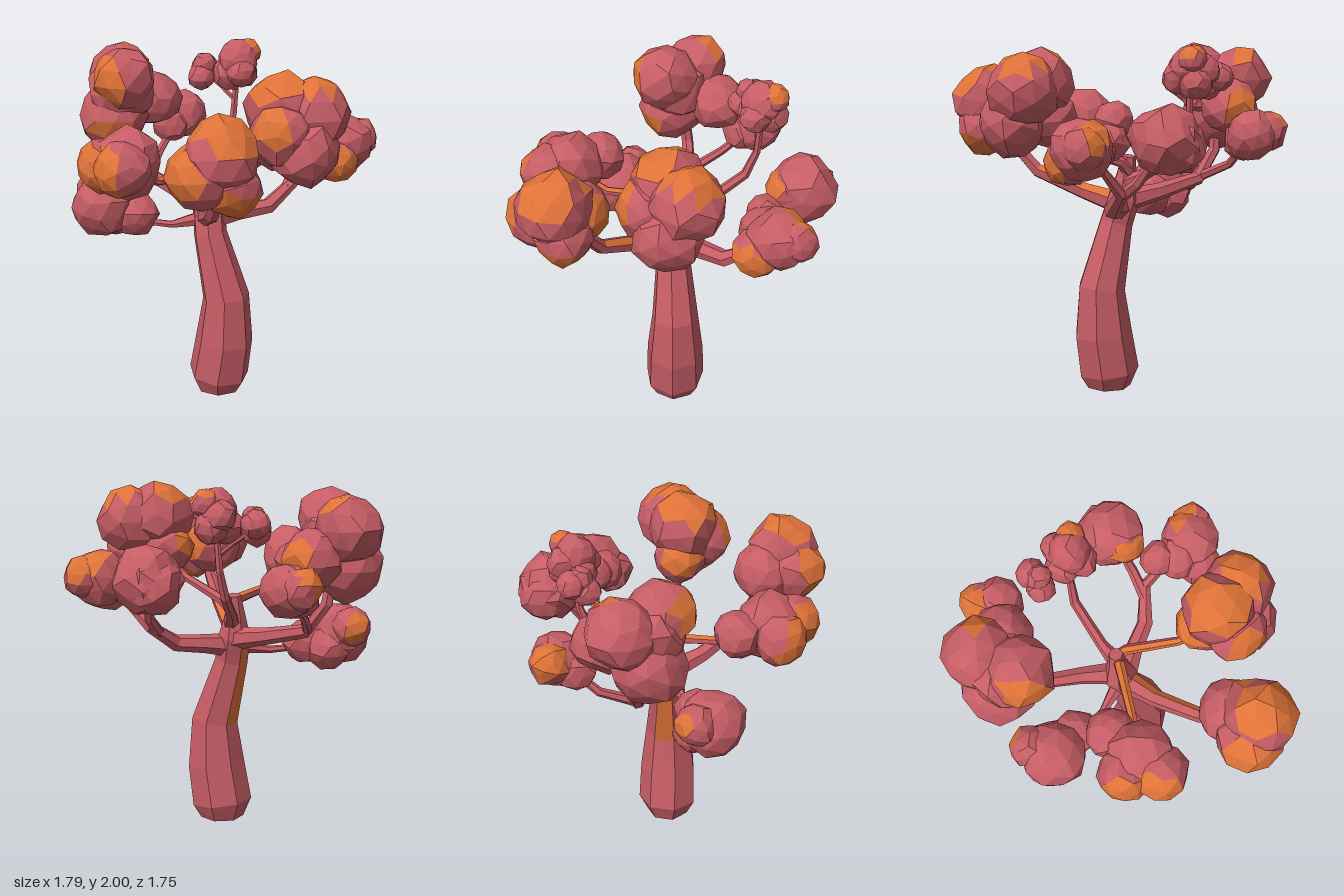
import * as THREE from 'three';

const red = new THREE.MeshStandardMaterial({ color: 0xc65d65 });
red.name = 'dusty red';
const orange = new THREE.MeshStandardMaterial({ color: 0xdf7238 });
orange.name = 'autumn orange';
for (const m of [red, orange]) m.flatShading = true;

// Small seeded random generator
let seed = 7;
const rand = () => (seed = (seed * 16807) % 2147483647) / 2147483647;

// Give each triangle red or orange by its normal and centre
function paint(geometry, isOrange) {
  const g = geometry.index ? geometry.toNonIndexed() : geometry;
  const p = g.attributes.position;
  const t = new THREE.Triangle(), n = new THREE.Vector3(), c = new THREE.Vector3();
  g.clearGroups();
  for (let i = 0; i < p.count; i += 3) {
    t.setFromAttributeAndIndices(p, i, i + 1, i + 2);
    t.getNormal(n);
    t.getMidpoint(c);
    const m = isOrange(n, c) ? 1 : 0;
    const last = g.groups[g.groups.length - 1];
    if (last && last.materialIndex === m) last.count += 3;
    else g.addGroup(i, 3, m);
  }
  g.computeVertexNormals();
  return g;
}

// Orange patch around a direction; limit is the smallest cosine
function patch(dir, limit = 0.6) {
  if (!dir) return () => false;
  const d = new THREE.Vector3(...dir).normalize();
  return (n) => n.dot(d) > limit;
}

function addMesh(parent, name, geometry, isOrange) {
  const mesh = new THREE.Mesh(paint(geometry, isOrange), [red, orange]);
  mesh.name = name;
  parent.add(mesh);
}

// Irregular faceted ball of leaves
function leafBall(x, y, z, r) {
  const g = new THREE.IcosahedronGeometry(1, 1);
  g.rotateX(rand() * 6).rotateY(rand() * 6);
  const p = g.attributes.position, v = new THREE.Vector3(), scales = new Map();
  for (let i = 0; i < p.count; i++) {
    v.fromBufferAttribute(p, i);
    const key = v.toArray().map((a) => Math.round(a * 100)).join();
    if (!scales.has(key)) scales.set(key, r * (0.92 + 0.16 * rand()));
    v.multiplyScalar(scales.get(key));
    p.setXYZ(i, v.x + x, v.y + y, v.z + z);
  }
  return g;
}

// Tapered limb through points [x, y, z, radius], closed at both ends
function limb(points, sides) {
  const c = points.map((a) => new THREE.Vector3(a[0], a[1], a[2]));
  const pos = [], index = [], u = new THREE.Vector3(0.56, 0.2, 0.83), w = new THREE.Vector3();
  points.forEach((a, i) => {
    const t = c[Math.min(i + 1, c.length - 1)].clone().sub(c[Math.max(i - 1, 0)]).normalize();
    u.addScaledVector(t, -u.dot(t)).normalize();
    w.crossVectors(t, u);
    for (let s = 0; s < sides; s++) {
      const q = (s / sides) * Math.PI * 2;
      const v = c[i].clone().addScaledVector(u, Math.cos(q) * a[3]).addScaledVector(w, Math.sin(q) * a[3]);
      pos.push(v.x, v.y, v.z);
    }
  });
  for (let i = 0; i < points.length - 1; i++)
    for (let s = 0; s < sides; s++) {
      const a = i * sides + s, b = i * sides + ((s + 1) % sides);
      index.push(a, b, a + sides, b, b + sides, a + sides);
    }
  const e = (points.length - 1) * sides;
  for (let s = 1; s < sides - 1; s++) index.push(0, s + 1, s, e, e + s, e + s + 1);
  const g = new THREE.BufferGeometry();
  g.setAttribute('position', new THREE.Float32BufferAttribute(pos, 3));
  g.setIndex(index);
  return g;
}

// Branches: points [x, y, z, radius], direction of an orange strip and its limit
const branches = {
  leftSideBranch: [[[0.02, 1.27, -0.06, 0.04], [0.08, 1.33, -0.07, 0.03], [0.36, 1.43, 0.01, 0.025], [0.58, 1.6, 0.03, 0.02]], [-0.1, 0.8, 0.6], 0.45],
  frontLeftBranch: [[[0.04, 1.08, 0, 0.07], [0.17, 1.14, 0.19, 0.05], [0.36, 1.25, 0.4, 0.042], [0.45, 1.38, 0.47, 0.035], [0.53, 1.55, 0.57, 0.025]], [0.1, 1, -0.5], 0.87],
  frontBranch: [[[0.02, 1.25, -0.06, 0.04], [0.02, 1.33, 0, 0.032], [-0.02, 1.36, 0.38, 0.024], [-0.06, 1.46, 0.55, 0.02]], [0.3, 1, 0], 0.7],
  frontRightBranch: [[[0.03, 1.06, 0, 0.05], [-0.12, 1.02, 0.13, 0.022], [-0.22, 1.03, 0.19, 0.02], [-0.4, 1.1, 0.28, 0.02]]],
  rightSideBranch: [[[0.04, 1.1, -0.03, 0.07], [-0.18, 1.14, -0.07, 0.05], [-0.45, 1.2, -0.09, 0.04], [-0.57, 1.36, -0.08, 0.035], [-0.6, 1.6, -0.05, 0.03]]],
  backRightTwig: [[[-0.46, 1.21, -0.09, 0.03], [-0.53, 1.3, -0.28, 0.025], [-0.53, 1.45, -0.45, 0.02]]],
  backLeftBranch: [[[0.06, 1.06, -0.02, 0.07], [0.15, 1.08, -0.14, 0.055], [0.27, 1.1, -0.28, 0.048], [0.33, 1.22, -0.46, 0.035], [0.5, 1.4, -0.5, 0.02]]],
  backTwig: [[[0.31, 1.18, -0.4, 0.035], [0.28, 1.28, -0.54, 0.03], [0.22, 1.45, -0.65, 0.02]]],
  tallBackBranch: [[[0.03, 1.2, -0.05, 0.05], [-0.03, 1.27, -0.17, 0.032], [-0.11, 1.41, -0.4, 0.028], [-0.11, 1.56, -0.46, 0.022], [-0.1, 1.82, -0.48, 0.018]]],
  tallBackTwig: [[[-0.11, 1.65, -0.46, 0.016], [-0.2, 1.72, -0.45, 0.014], [-0.3, 1.79, -0.42, 0.012]]],
};

// Leaf balls: x, y, z, radius, direction of the orange patch and its limit
const clusters = {
  leftSideLeaves: [
    [0.69, 1.76, -0.06, 0.195, [0.2, 1, -0.1], 0.65], [0.55, 1.78, 0.03, 0.2, [-0.2, 0.9, 0.35], 0.55],
    [0.7, 1.58, 0.04, 0.19], [0.62, 1.68, 0.14, 0.165, [0.2, 0.3, 0.9], 0.75], [0.5, 1.6, 0.02, 0.16, [-1, 0.4, 0.3], 0.6]],
  frontLeftLeaves: [
    [0.57, 1.66, 0.61, 0.2, [0.25, 1, 0.1], 0.55], [0.46, 1.56, 0.51, 0.17, [0.7, 0.2, -0.6], 0.65],
    [0.5, 1.57, 0.69, 0.18, [-0.25, 0.2, 1], 0.6], [0.62, 1.5, 0.57, 0.155, [0.3, -0.9, 0.1], 0.45]],
  frontLeaves: [
    [-0.06, 1.51, 0.58, 0.19, [-0.5, -0.1, 0.85], 0.5], [0.01, 1.51, 0.7, 0.15, [-0.5, -0.2, 0.9], 0.35],
    [-0.17, 1.49, 0.65, 0.15, [-0.45, -0.2, 0.9], 0.4], [-0.17, 1.5, 0.42, 0.135]],
  frontRightLeaves: [
    [-0.47, 1.12, 0.32, 0.185], [-0.31, 1.07, 0.22, 0.13], [-0.58, 1.17, 0.25, 0.12, [-0.7, 0, -0.7], 0.75],
    [-0.45, 1.05, 0.23, 0.13]],
  rightSideLeaves: [
    [-0.53, 1.81, 0.05, 0.185, [0, 0, 1], 0.6], [-0.71, 1.78, -0.12, 0.19, [0.1, 0.8, -0.6], 0.88],
    [-0.65, 1.56, 0, 0.205, [0.55, -0.45, 0.7], 0.88], [-0.6, 1.71, -0.01, 0.2, [-0.8, 0.2, -0.5], 0.85],
    [-0.55, 1.63, -0.25, 0.165, [0.2, 0, -1], 0.75]],
  backRightLeaves: [
    [-0.52, 1.49, -0.49, 0.145], [-0.61, 1.51, -0.52, 0.115, [-0.9, 0.7, 0.1], 0.5], [-0.54, 1.45, -0.4, 0.12]],
  backLeftLeaves: [
    [0.61, 1.48, -0.53, 0.165, [-0.1, 0.8, -0.6], 0.82], [0.63, 1.41, -0.42, 0.13, [0.6, -0.4, 0.5], 0.4],
    [0.65, 1.5, -0.62, 0.115, [-0.2, 0.7, -0.7], 0.7], [0.51, 1.47, -0.46, 0.125], [0.4, 1.5, -0.47, 0.1]],
  backLeaves: [
    [0.2, 1.52, -0.69, 0.19], [0.16, 1.5, -0.71, 0.16], [0.24, 1.54, -0.61, 0.125, [0, 0.1, 1], 0.4]],
  tallBackLeaves: [
    [-0.1, 1.88, -0.48, 0.12], [-0.05, 1.82, -0.44, 0.09], [-0.14, 1.8, -0.45, 0.1], [-0.1, 1.8, -0.53, 0.095],
    [-0.07, 1.92, -0.54, 0.08, [0.3, 0.9, -0.3], 0.55], [-0.15, 1.86, -0.53, 0.09]],
  smallBackLeaves: [[-0.32, 1.82, -0.45, 0.08], [-0.29, 1.77, -0.38, 0.08], [-0.29, 1.84, -0.41, 0.07]],
};

export function createModel() {
  seed = 7;
  const tree = new THREE.Group();
  tree.name = 'tree';

  // Leaning trunk with an orange strip high on one side
  const trunk = limb([
    [0.125, 0.005, 0, 0.13], [0.125, 0.1, 0, 0.178], [0.163, 0.33, 0, 0.17], [0.172, 0.6, 0, 0.138],
    [0.065, 0.97, 0.01, 0.098], [0.03, 1.12, -0.02, 0.095], [0.02, 1.24, -0.03, 0.062], [0.015, 1.36, -0.05, 0.04]], 7);
  const strip = patch([-1, -0.2, -0.1], 0.85);
  addMesh(tree, 'trunk', trunk, (n, c) => c.y > 0.62 && c.y < 1.1 && strip(n));

  for (const [name, [points, dir, limit]] of Object.entries(branches))
    addMesh(tree, name, limb(points, 6), patch(dir, limit));

  for (const [name, balls] of Object.entries(clusters)) {
    const group = new THREE.Group();
    group.name = name;
    for (const [x, y, z, r, dir, limit] of balls)
      addMesh(group, 'leafBall', leafBall(x, y, z, r), patch(dir, limit));
    tree.add(group);
  }
  return tree;
}
